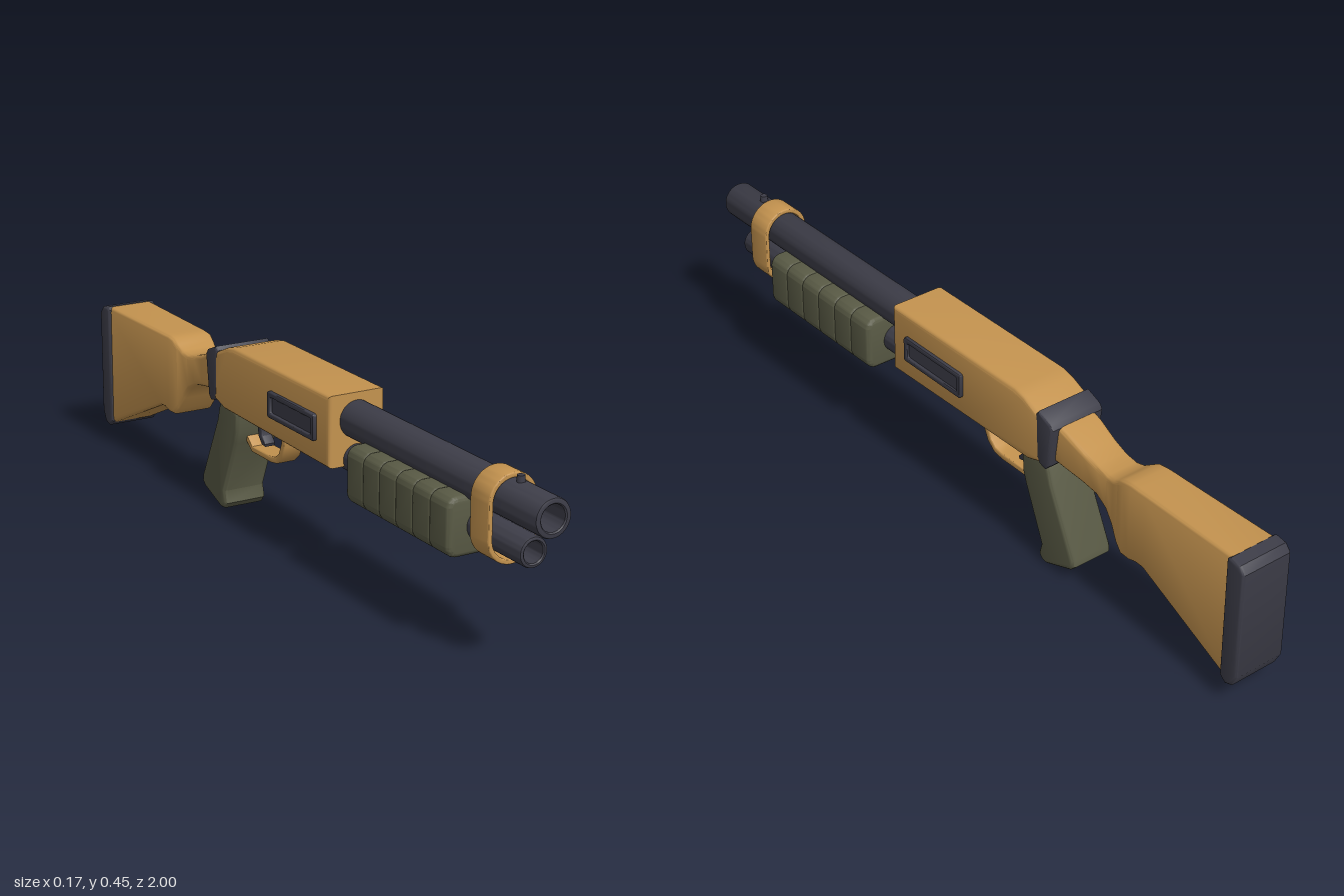
import * as THREE from 'three';
import { toCreasedNormals } from 'three/addons/utils/BufferGeometryUtils.js';

const material = (name, color) => Object.assign(new THREE.MeshStandardMaterial({ color }), { name });

// Shape from [z, y] (or [x, y]) points
const outline = (pts) => new THREE.Shape(pts.map(([a, b]) => new THREE.Vector2(a, b)));

// Bevelled extrusion, centred on its depth axis; the bevel stays inside the outline
function extrude(shape, depth, bevel) {
  const g = new THREE.ExtrudeGeometry(shape, {
    depth: depth - 2 * bevel, bevelEnabled: bevel > 0, bevelThickness: bevel,
    bevelSize: bevel, bevelOffset: -bevel, bevelSegments: 3, curveSegments: 12,
  });
  g.translate(0, 0, bevel - depth / 2);
  return toCreasedNormals(g, 0.65);
}

// Side profile in [z, y], extruded across the width
const profile = (pts, width, bevel) => extrude(outline(pts), width, bevel).rotateY(-Math.PI / 2);

// Rectangle with rounded corners
function roundRect(x0, y0, x1, y1, r) {
  const s = new THREE.Shape();
  s.absarc(x1 - r, y1 - r, r, 0, Math.PI / 2);
  s.absarc(x0 + r, y1 - r, r, Math.PI / 2, Math.PI);
  s.absarc(x0 + r, y0 + r, r, Math.PI, Math.PI * 1.5);
  s.absarc(x1 - r, y0 + r, r, Math.PI * 1.5, Math.PI * 2);
  s.closePath();
  return s;
}

// Open tube along z with a rounded muzzle
function tube(outer, inner, z0, z1) {
  const e = 0.006;
  const pts = [[outer, z0], [outer, z1 - e], [outer - e * 0.3, z1 - e * 0.3], [outer - e, z1],
    [inner + 0.003, z1], [inner, z1 - 0.003], [inner, z0]];
  const g = new THREE.LatheGeometry(pts.map(([r, z]) => new THREE.Vector2(r, z)), 40);
  return toCreasedNormals(g.rotateX(Math.PI / 2), 0.65);
}

// Loft of rounded rectangles; sections [z, bottom, top, half width] run backwards
function loft(sections, r) {
  const pos = [], idx = [], perCorner = 5, n = perCorner * 4;
  for (const [z, y0, y1, w] of sections) {
    for (let c = 0; c < 4; c++) {
      const cx = (c === 0 || c === 3 ? 1 : -1) * (w - r);
      const cy = c < 2 ? y1 - r : y0 + r;
      for (let k = 0; k < perCorner; k++) {
        const a = (c + k / (perCorner - 1)) * Math.PI / 2;
        pos.push(cx + r * Math.cos(a), cy + r * Math.sin(a), z);
      }
    }
  }
  for (let i = 0; i < sections.length - 1; i++) {
    for (let j = 0; j < n; j++) {
      const a = i * n + j, b = i * n + (j + 1) % n;
      idx.push(a, a + n, b, b, a + n, b + n);
    }
  }
  const g = new THREE.BufferGeometry();
  g.setAttribute('position', new THREE.Float32BufferAttribute(pos, 3));
  g.setIndex(idx);
  return toCreasedNormals(g, 0.6);
}

export function createModel() {
  const model = new THREE.Group();
  model.name = 'pumpShotgun';
  const tan = material('tan', 0xc4934f);
  const dark = material('darkMetal', 0x3c3c47);
  const olive = material('olive', 0x595a45);

  const add = (name, geometry, mat, x = 0, y = 0, z = 0, parent = model) => {
    const mesh = new THREE.Mesh(geometry, mat);
    mesh.name = name;
    mesh.position.set(x, y, z);
    parent.add(mesh);
    return mesh;
  };

  // Barrel, magazine tube and bead sight
  add('barrel', tube(0.046, 0.031, 0.2, 1), dark, 0, 0.387);
  add('magazineTube', tube(0.036, 0.025, 0.2, 0.935), dark, 0, 0.29);
  add('sight', new THREE.CylinderGeometry(0.009, 0.011, 0.025, 16), dark, 0, 0.435, 0.88);

  // Band that clamps the two tubes together
  const stadium = (shape, r) => {
    shape.absarc(0, 0.382, r, 0, Math.PI);
    shape.absarc(0, 0.3, r, Math.PI, Math.PI * 2);
    shape.closePath();
    return shape;
  };
  const band = stadium(new THREE.Shape(), 0.063);
  band.holes.push(stadium(new THREE.Path(), 0.051));
  add('barrelBand', extrude(band, 0.07, 0.003), tan, 0, 0, 0.82);

  // Ribbed sliding fore-end
  const foreEnd = new THREE.Group();
  foreEnd.name = 'foreEnd';
  model.add(foreEnd);
  const rib = extrude(roundRect(-0.086, 0.222, 0.086, 0.363, 0.028), 0.078, 0.011);
  for (let i = 0; i < 6; i++) add('foreEndRib', rib, olive, 0, 0, 0.353 + i * 0.0688, foreEnd);

  // Receiver
  add('receiver', profile([
    [0.222, 0.275], [0.222, 0.452], [-0.24, 0.452], [-0.275, 0.444], [-0.335, 0.418],
    [-0.35, 0.3], [-0.29, 0.282], [-0.07, 0.279],
  ], 0.152, 0.01), tan);

  // Recessed port on each side
  const frame = roundRect(-0.052, 0.329, 0.167, 0.395, 0.006);
  frame.holes.push(roundRect(-0.038, 0.342, 0.153, 0.382, 0.004));
  const frameGeo = extrude(frame, 0.02, 0.003).rotateY(-Math.PI / 2);
  for (const side of [1, -1]) {
    add('portFrame', frameGeo, dark, side * 0.076);
    add('portPanel', new THREE.BoxGeometry(0.008, 0.05, 0.2), dark, side * 0.075, 0.362, 0.0575);
  }

  // Collar between receiver and stock
  add('collar', profile([
    [-0.32, 0.425], [-0.328, 0.435], [-0.37, 0.418], [-0.379, 0.405],
    [-0.366, 0.3], [-0.355, 0.288], [-0.335, 0.294], [-0.326, 0.31],
  ], 0.154, 0.006), dark);

  // Stock, narrow at the wrist and deep at the butt
  add('stock', loft([
    [-0.35, 0.308, 0.414, 0.057], [-0.4, 0.302, 0.4, 0.055], [-0.455, 0.293, 0.377, 0.05],
    [-0.5, 0.283, 0.363, 0.047], [-0.535, 0.262, 0.357, 0.048], [-0.56, 0.232, 0.361, 0.051],
    [-0.58, 0.198, 0.373, 0.055], [-0.6, 0.179, 0.384, 0.058], [-0.625, 0.178, 0.387, 0.058],
    [-0.65, 0.185, 0.387, 0.059], [-0.675, 0.184, 0.387, 0.059], [-0.96, 0.056, 0.387, 0.064],
  ], 0.012), tan);
  add('buttPad', profile([
    [-0.947, 0.065], [-0.945, 0.38], [-0.955, 0.388], [-0.985, 0.383], [-1, 0.365],
    [-1, 0.085], [-0.985, 0.055], [-0.965, 0.049],
  ], 0.142, 0.008), dark);

  // Pistol grip
  add('grip', profile([
    [-0.25, 0.27], [-0.265, 0.286], [-0.335, 0.293], [-0.348, 0.27], [-0.358, 0.235],
    [-0.441, 0.062], [-0.443, 0.045], [-0.43, 0.032], [-0.345, 0.001], [-0.328, 0.003],
    [-0.316, 0.018], [-0.324, 0.05], [-0.262, 0.195], [-0.252, 0.225],
  ], 0.118, 0.01), olive);

  // Trigger guard and trigger
  add('triggerGuard', profile([
    [-0.064, 0.285], [-0.07, 0.235], [-0.085, 0.203], [-0.11, 0.182], [-0.14, 0.177],
    [-0.235, 0.177], [-0.265, 0.2], [-0.262, 0.218], [-0.23, 0.192], [-0.14, 0.193],
    [-0.115, 0.198], [-0.098, 0.213], [-0.087, 0.24], [-0.082, 0.285],
  ], 0.054, 0.003), tan);
  add('trigger', profile([
    [-0.195, 0.285], [-0.206, 0.245], [-0.203, 0.225], [-0.187, 0.208], [-0.19, 0.2],
    [-0.205, 0.203], [-0.221, 0.22], [-0.226, 0.245], [-0.222, 0.285],
  ], 0.03, 0.003), dark);

  return model;
}
